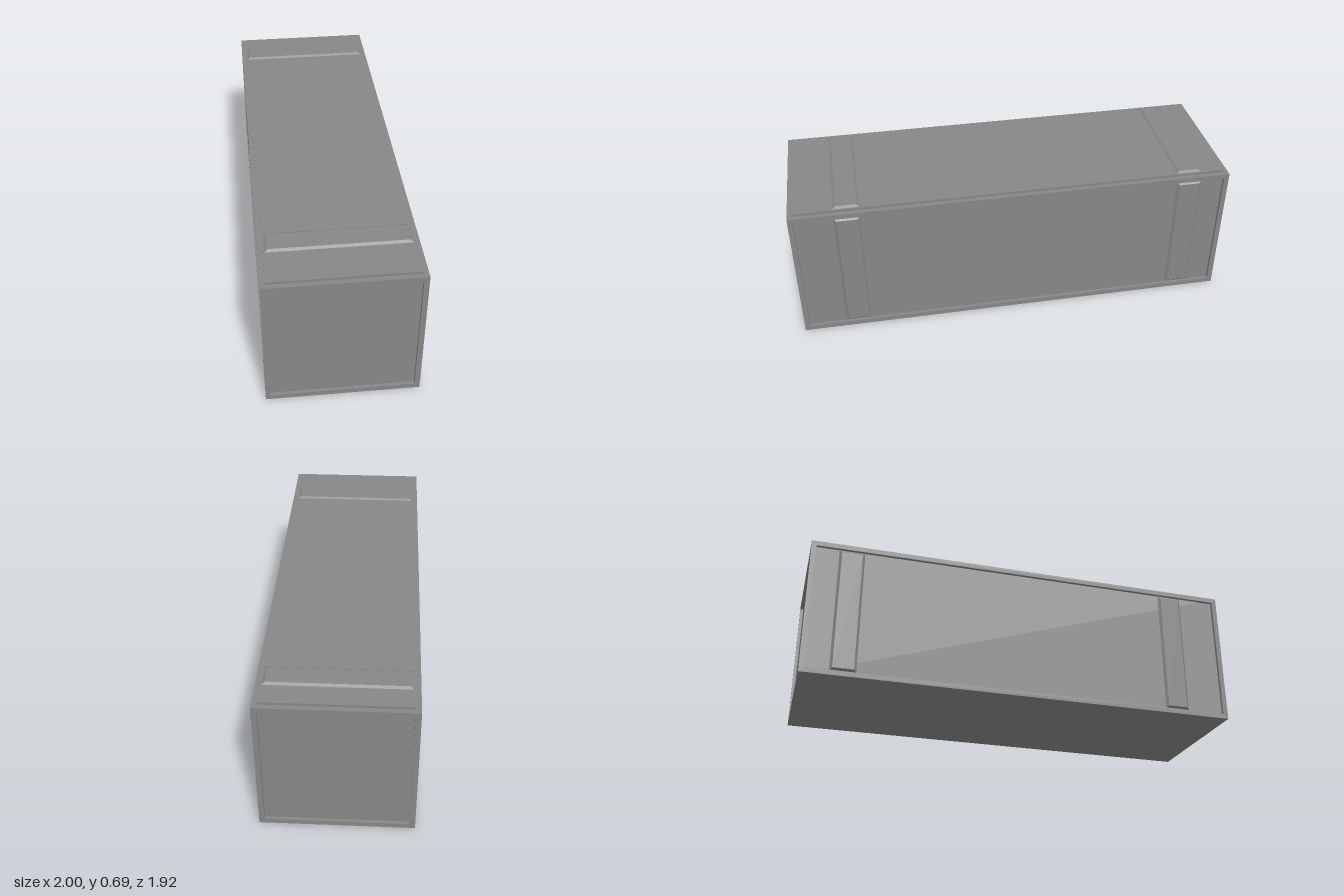
import * as THREE from 'three';

const L = 2.084, W = 0.69, H = 0.671; // crate length, width, body height
const DEPTH = 0.015;                  // recess of the side panels
const BORDER = 0.024;                 // width of the raised rim
const STRAPS = [-0.778, 0.849];       // strap centres along the crate
const STRAP_W = 0.121;

export function createModel() {
  const model = new THREE.Group();
  model.name = 'crate';
  const mat = new THREE.MeshStandardMaterial({ color: 0x878787, flatShading: true });

  const add = (parent, name, geo, x = 0, y = 0, z = 0) => {
    const mesh = new THREE.Mesh(geo, mat);
    mesh.name = name;
    mesh.position.set(x, y, z);
    parent.add(mesh);
    return mesh;
  };

  // Rectangular rim around a recessed panel, facing +z
  const rim = (halfW, holeHalfW) => {
    const shape = new THREE.Shape();
    shape.moveTo(-halfW, 0).lineTo(halfW, 0).lineTo(halfW, H).lineTo(-halfW, H).closePath();
    const hole = new THREE.Path();
    hole.moveTo(-holeHalfW, BORDER).lineTo(-holeHalfW, H - BORDER)
      .lineTo(holeHalfW, H - BORDER).lineTo(holeHalfW, BORDER).closePath();
    shape.holes.push(hole);
    return new THREE.ExtrudeGeometry(shape, { depth: DEPTH, bevelEnabled: false });
  };

  // Flat band with its four outer edges chamfered, base on z = 0
  const band = (w, h, d, bevel) => {
    const geo = new THREE.BoxGeometry(w, h, d);
    geo.translate(0, 0, d / 2);
    const p = geo.attributes.position;
    for (let i = 0; i < p.count; i++) {
      if (p.getZ(i) < d / 2) continue;
      p.setX(i, p.getX(i) - Math.sign(p.getX(i)) * bevel);
      p.setY(i, p.getY(i) - Math.sign(p.getY(i)) * bevel);
    }
    geo.computeVertexNormals();
    return geo;
  };

  // Solid core, whose sides are the recessed panels
  add(model, 'body', new THREE.BoxGeometry(L - 2 * DEPTH, H, W - 2 * DEPTH), 0, H / 2, 0);

  // Long sides and ends, each made once and turned round for the opposite face
  for (const turn of [0, Math.PI]) {
    const side = new THREE.Group();
    side.name = turn ? 'backSide' : 'frontSide';
    side.rotation.y = turn;
    add(side, 'sideRim', rim(L / 2, L / 2 - BORDER), 0, 0, W / 2 - DEPTH);
    for (const s of STRAPS) {
      add(side, 'sideStrap', band(STRAP_W, H - 2 * BORDER - 0.006, 0.011, 0.012),
        turn ? -s : s, H / 2, W / 2 - DEPTH);
    }
    model.add(side);

    const end = new THREE.Group();
    end.name = turn ? 'rightEnd' : 'leftEnd';
    end.rotation.y = turn + Math.PI / 2;
    add(end, 'endRim', rim(W / 2 - DEPTH, W / 2 - BORDER), 0, 0, L / 2 - DEPTH);
    model.add(end);
  }

  // Raised lid panel with two straps across it
  const lidTop = 0.683;
  add(model, 'lid', new THREE.BoxGeometry(L - 0.046, 0.03, W - 0.046), 0, lidTop - 0.015, 0);
  for (const s of STRAPS) {
    const strap = add(model, 'lidStrap', band(STRAP_W, 0.63, 0.008, 0.012), s, lidTop, 0);
    strap.rotation.x = -Math.PI / 2;
  }

  // The crate stands diagonally
  model.rotation.y = THREE.MathUtils.degToRad(42.76);
  const root = new THREE.Group();
  root.add(model);
  return root;
}
